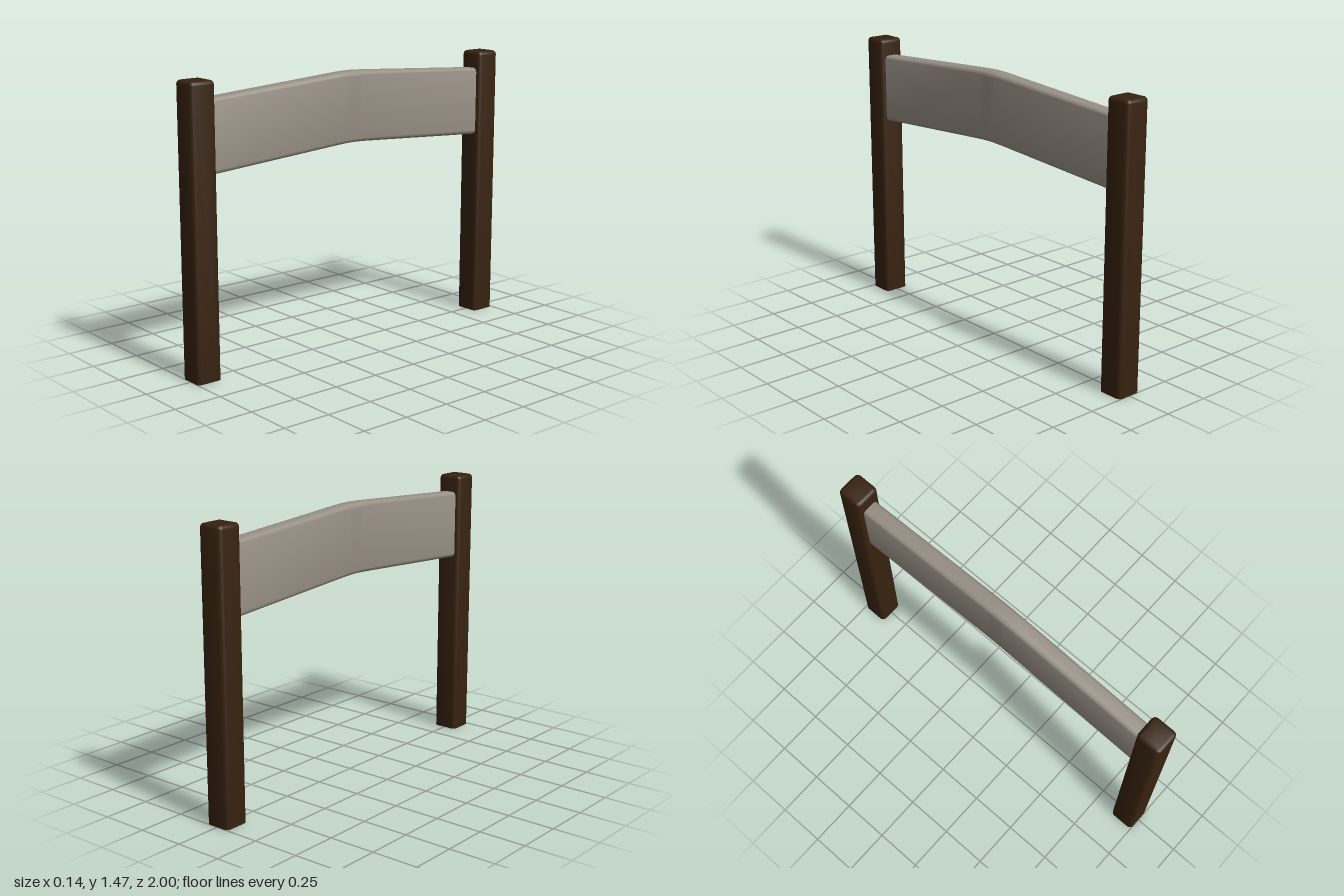
import * as THREE from 'three';
import { toCreasedNormals } from 'three/addons/utils/BufferGeometryUtils.js';

const POST_WIDTH = 0.138, POST_HEIGHT = 1.465, POST_Z = 0.931;
const BEAM_THICKNESS = 0.09, BEAM_DEPTH = 0.365, BEAM_BOTTOM = 1.065;

function roundedRect(w, h, r) {
  const x = w / 2, y = h / 2, s = new THREE.Shape();
  s.moveTo(x, -y + r);
  s.absarc(x - r, y - r, r, 0, Math.PI / 2);
  s.absarc(-x + r, y - r, r, Math.PI / 2, Math.PI);
  s.absarc(-x + r, -y + r, r, Math.PI, Math.PI * 1.5);
  s.absarc(x - r, -y + r, r, Math.PI * 1.5, Math.PI * 2);
  return s;
}

// Square post with eased vertical edges, eased top and flat foot
function postGeometry() {
  const ease = 0.02;
  const geo = new THREE.ExtrudeGeometry(roundedRect(POST_WIDTH, POST_WIDTH, 0.024), {
    depth: POST_HEIGHT - ease, curveSegments: 4,
    bevelEnabled: true, bevelThickness: ease, bevelSize: ease, bevelOffset: -ease, bevelSegments: 3,
  });
  geo.rotateX(-Math.PI / 2);
  const p = geo.attributes.position;
  for (let i = 0; i < p.count; i++) p.setY(i, Math.max(0, p.getY(i)));
  return toCreasedNormals(geo, 0.7);
}

// Rounded plank swept along z, rising gently to a softened peak in the middle
function beamGeometry() {
  const stations = [-0.88, -0.1, -0.06, -0.025, 0, 0.025, 0.06, 0.1, 0.88];
  const steps = stations.length - 1;
  const geo = new THREE.ExtrudeGeometry(roundedRect(BEAM_THICKNESS, BEAM_DEPTH, 0.024), {
    depth: steps, steps, curveSegments: 4, bevelEnabled: false,
  });
  const p = geo.attributes.position, soft = 0.06;
  for (let i = 0; i < p.count; i++) {
    const z = stations[Math.round(p.getZ(i))];
    const drop = 0.068 * (Math.hypot(z, soft) - soft);
    p.setY(i, p.getY(i) + BEAM_BOTTOM + BEAM_DEPTH / 2 - drop);
    p.setZ(i, z);
  }
  return toCreasedNormals(geo, 0.7);
}

export function createModel() {
  const darkWood = new THREE.MeshStandardMaterial({ name: 'darkWood', color: 0x36210e });
  const paleWood = new THREE.MeshStandardMaterial({ name: 'paleWood', color: 0x989085 });
  const model = new THREE.Group();
  model.name = 'postAndBeamFrame';

  // Posts
  const geo = postGeometry();
  for (const [name, side] of [['frontPost', 1], ['backPost', -1]]) {
    const post = new THREE.Mesh(geo, darkWood);
    post.name = name;
    post.position.z = side * POST_Z;
    model.add(post);
  }

  // Crossbeam
  const beam = new THREE.Mesh(beamGeometry(), paleWood);
  beam.name = 'crossbeam';
  model.add(beam);
  return model;
}
